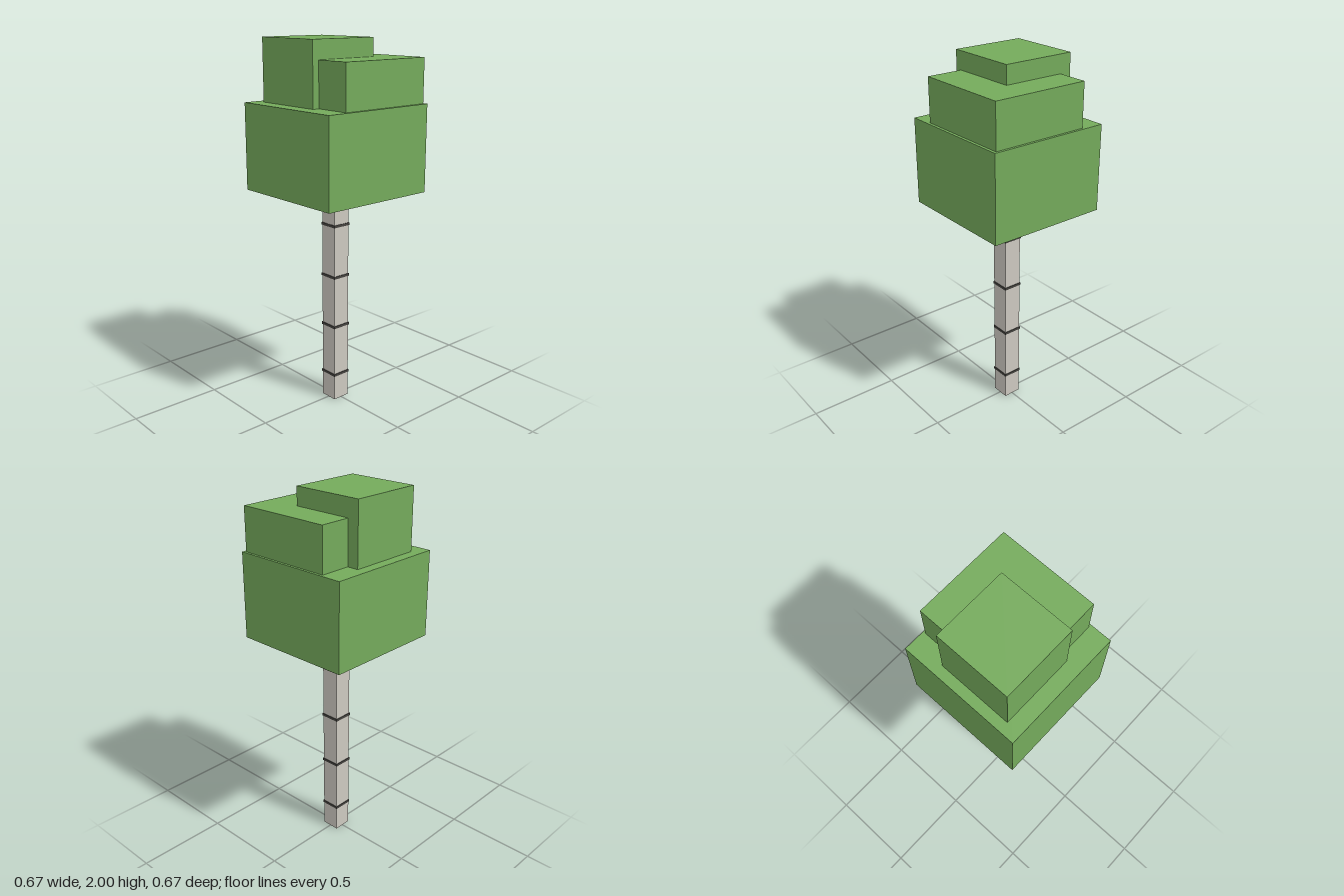
import * as THREE from 'three';

const material = (color) => new THREE.MeshStandardMaterial({ color, flatShading: true });

export function createModel() {
  const tree = new THREE.Group();
  tree.name = 'blockTree';
  const leaf = material(0x74aa5b);
  const bark = material(0xcdc9c0);
  const mark = material(0x45433f);

  // Square-plan block given its width, bottom, top and centre
  function block(name, mat, width, bottom, top, x = 0, z = 0) {
    const mesh = new THREE.Mesh(new THREE.BoxGeometry(width, top - bottom, width), mat);
    mesh.name = name;
    mesh.position.set(x, (bottom + top) / 2, z);
    tree.add(mesh);
  }

  // Slender trunk, stopping just short of the foliage
  block('trunk', bark, 0.1, 0, 1.163);

  // Thin dark bark rings at even spacing
  for (let i = 0; i < 4; i++) {
    const y = 0.149 + i * 0.29;
    block(`barkRing${i + 1}`, mark, 0.107, y - 0.007, y + 0.007);
  }

  // Stacked, offset foliage blocks; the upper two sink into the lower one
  block('lowerFoliage', leaf, 0.671, 1.2, 1.667);
  block('middleFoliage', leaf, 0.537, 1.53, 1.902, 0.051, -0.053);
  block('upperFoliage', leaf, 0.403, 1.6, 2, -0.079, 0.051);

  return tree;
}
